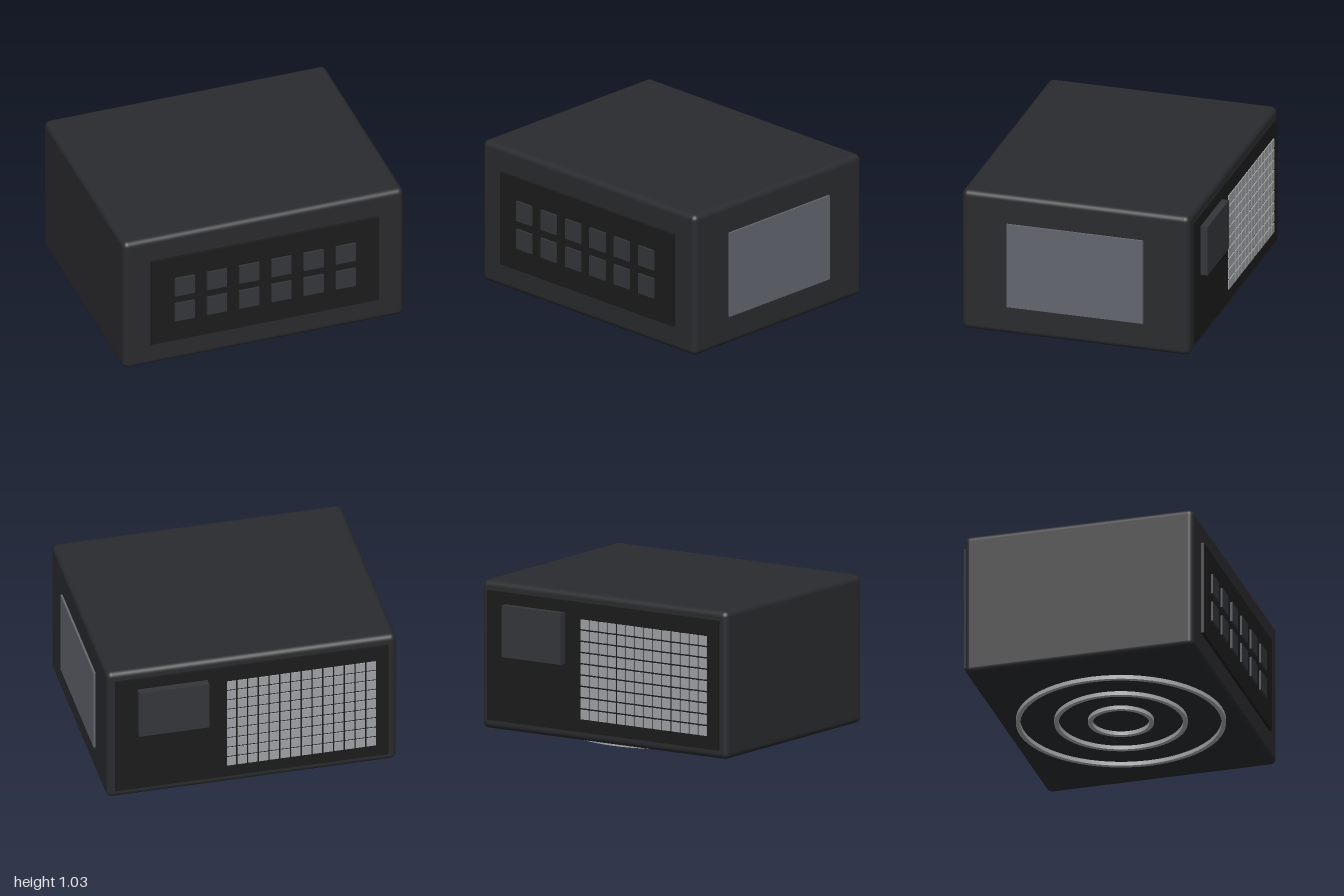
import * as THREE from 'three';
import { RoundedBoxGeometry } from 'three/addons/geometries/RoundedBoxGeometry.js';

const paint = (color) => new THREE.MeshStandardMaterial({ color });

export function createModel() {
  const model = new THREE.Group();
  const bodyPaint = paint(0x2a2b2e);
  const panelPaint = paint(0x1c1c1d);
  const buttonPaint = paint(0x34363a);
  const screenPaint = paint(0x63666e);
  const grillePaint = paint(0xa0a2a5);
  const ringPaint = paint(0xaaaaaa);

  // box given by its lower and upper corners
  function box(name, material, [x0, y0, z0], [x1, y1, z1], parent = model) {
    const mesh = new THREE.Mesh(new THREE.BoxGeometry(x1 - x0, y1 - y0, z1 - z0), material);
    mesh.position.set((x0 + x1) / 2, (y0 + y1) / 2, (z0 + z1) / 2);
    mesh.name = name;
    parent.add(mesh);
    return mesh;
  }

  function group(name) {
    const g = new THREE.Group();
    g.name = name;
    model.add(g);
    return g;
  }

  // rounded housing
  const body = new THREE.Mesh(new RoundedBoxGeometry(1.985, 1.005, 1.59, 4, 0.04), bodyPaint);
  body.position.set(-0.007, 0.53, 0.015);
  body.name = 'body';
  model.add(body);

  // front panel with two rows of six buttons
  box('frontPanel', panelPaint, [-0.81, 0.2, 0.78], [0.8, 0.86, 0.83]);
  const buttons = group('buttons');
  for (let row = 0; row < 2; row++) {
    for (let col = 0; col < 6; col++) {
      const x = -0.577 + col * 0.2275;
      const y = 0.43 + row * 0.2;
      box('button', buttonPaint, [x - 0.07, y - 0.07, 0.82], [x + 0.07, y + 0.07, 0.845], buttons);
    }
  }

  // side display
  box('sideScreen', screenPaint, [0.96, 0.23, -0.46], [1, 0.83, 0.49]);

  // back panel with connector block and grille tiles
  box('backPanel', panelPaint, [-0.94, 0.09, -0.795], [0.93, 0.97, -0.75]);
  box('connectorBlock', buttonPaint, [0.3, 0.54, -0.845], [0.78, 0.89, -0.78]);
  const grille = group('grille');
  for (let row = 0; row < 9; row++) {
    for (let col = 0; col < 14; col++) {
      const x = -0.85 + col * 0.0735;
      const y = 0.18 + row * 0.0765;
      box('grilleTile', grillePaint, [x, y, -0.803], [x + 0.063, y + 0.065, -0.785], grille);
    }
  }

  // concentric base rings
  const rings = group('baseRings');
  for (const radius of [0.22, 0.445, 0.7]) {
    const inner = radius - 0.03;
    const profile = [[inner, 0.04], [inner, 0], [radius, 0], [radius, 0.04]];
    // separate lathed bands keep the edges sharp
    for (let i = 0; i < 3; i++) {
      const points = [profile[i], profile[i + 1]].map((p) => new THREE.Vector2(...p));
      const band = new THREE.Mesh(new THREE.LatheGeometry(points, 64), ringPaint);
      band.position.set(-0.007, 0, 0.018);
      band.name = 'baseRing';
      rings.add(band);
    }
  }

  return model;
}
